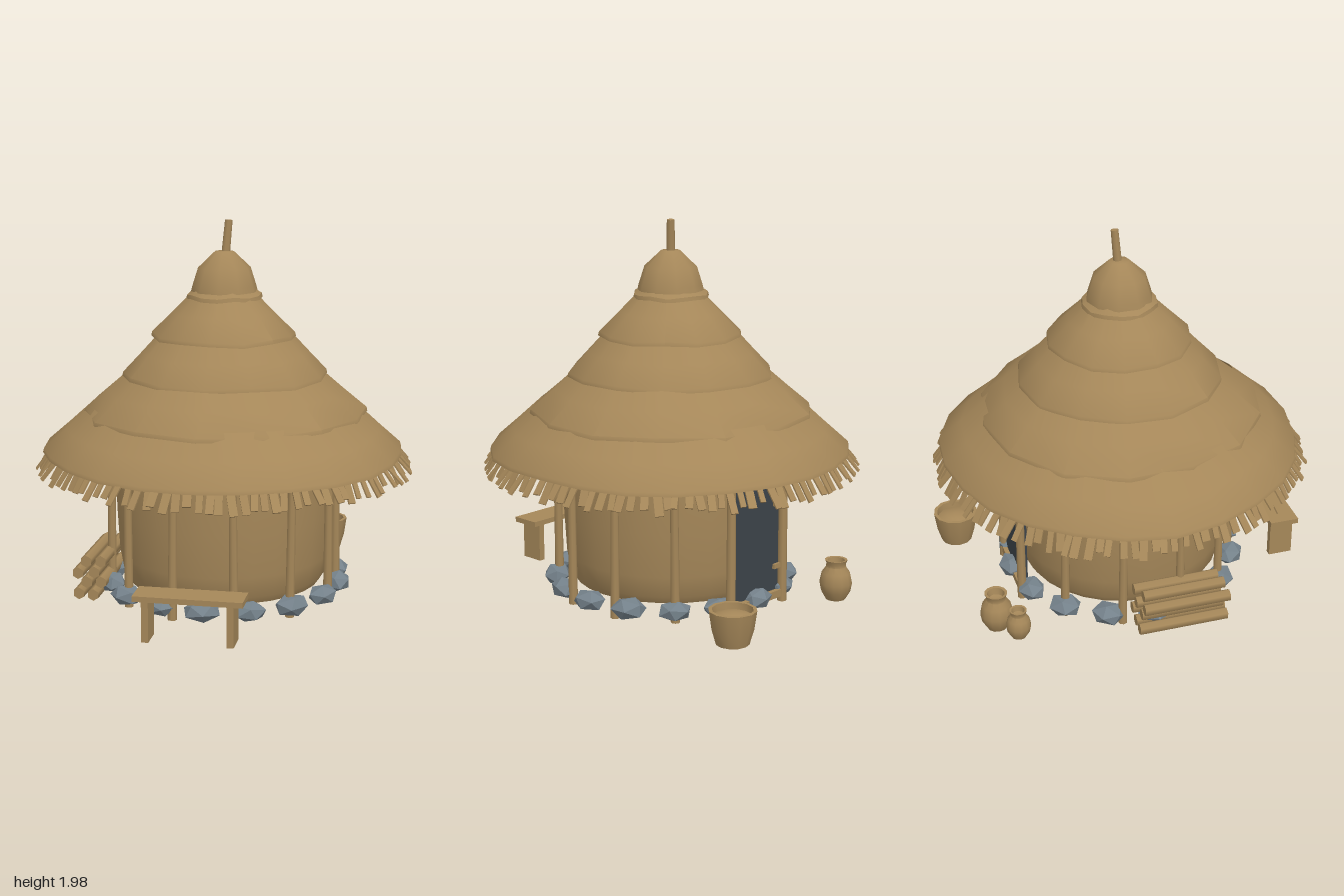
import * as THREE from 'three';
import { toCreasedNormals } from 'three/addons/utils/BufferGeometryUtils.js';

export function createModel() {
  const hut = new THREE.Group();
  const straw = new THREE.MeshStandardMaterial({ name: 'strawBrown', color: 0xa58759, side: THREE.DoubleSide });
  const stoneGrey = new THREE.MeshStandardMaterial({ name: 'stoneGrey', color: 0x74818a, flatShading: true });
  const doorDark = new THREE.MeshStandardMaterial({ name: 'doorDark', color: 0x3c4349 });

  let seed = 7;
  const rand = (a, b) => {
    seed = (seed * 16807) % 2147483647;
    return a + (b - a) * (seed / 2147483647);
  };
  const add = (name, geometry, material, x = 0, y = 0, z = 0, parent = hut) => {
    const m = new THREE.Mesh(geometry, material);
    m.name = name;
    m.position.set(x, y, z);
    parent.add(m);
    return m;
  };
  const group = (name, x = 0, y = 0, z = 0) => {
    const g = new THREE.Group();
    g.name = name;
    g.position.set(x, y, z);
    hut.add(g);
    return g;
  };
  const lathe = (points, sides, crease = 0.7) =>
    toCreasedNormals(new THREE.LatheGeometry(points.map(p => new THREE.Vector2(...p)), sides), crease);
  const box = (name, w, h, d, x, y, z, parent) => add(name, new THREE.BoxGeometry(w, h, d), straw, x, y, z, parent);

  // Round mud wall, open at top and bottom
  add('wall', lathe([[0.515, 0.07], [0.54, 0.11], [0.56, 0.22], [0.573, 0.45], [0.578, 0.7], [0.57, 0.9]], 28), straw);

  // Thatch layers: [bottom radius, bottom y, top radius, top y]
  const layers = [
    [0.955, 0.765, 0.70, 1.01], [0.75, 0.97, 0.49, 1.21],
    [0.54, 1.17, 0.33, 1.41], [0.38, 1.375, 0.15, 1.62], [0.2, 1.575, 0.12, 1.65],
  ];
  layers.forEach(([r0, y0, r1, y1], i) => {
    const mid = [(r0 + r1) / 2 + 0.003, (y0 + y1) / 2 + 0.003];
    const pts = [[r0 - 0.035, y0 + 0.005], [r0, y0], [r0 - 0.005, y0 + 0.02], mid, [r1, y1]];
    const g = new THREE.LatheGeometry(pts.map(p => new THREE.Vector2(...p)), i ? 14 : 24);
    const p = g.attributes.position;
    // Gentle unevenness around the rim
    for (let k = 0; k < p.count; k++) {
      const x = p.getX(k), z = p.getZ(k), a = Math.atan2(x, z);
      const s = 1 + 0.01 * Math.sin(3 * a + i * 2) + 0.006 * Math.sin(7 * a + i);
      p.setXYZ(k, x * s, p.getY(k) + 0.006 * Math.sin(5 * a + i * 3), z * s);
    }
    add('thatchLayer', toCreasedNormals(g, 0.7), straw);
  });

  // Ragged fringe under the eaves
  const fringe = group('fringe');
  const count = 112;
  for (let i = 0; i < count; i++) {
    const len = rand(0.085, 0.13);
    const strip = new THREE.BoxGeometry(rand(0.028, 0.044), len, 0.009).translate(0, -len / 2, 0);
    const arm = new THREE.Group();
    arm.name = 'strawArm';
    arm.rotation.y = (i / count) * Math.PI * 2 + rand(-0.01, 0.01);
    const m = add('strawStrip', strip, straw, 0, 0.775, 0.922, arm);
    m.rotation.set(rand(-0.75, -0.5), 0, rand(-0.15, 0.15));
    fringe.add(arm);
  }

  // Roof cap and pole
  add('roofCap', lathe([[0.1, 1.625], [0.175, 1.612], [0.168, 1.64], [0.138, 1.735], [0.05, 1.818], [0, 1.82]], 10, 0.9), straw);
  const pole = add('roofPole', new THREE.CylinderGeometry(0.02, 0.023, 0.2, 8), straw, 0.012, 1.88, -0.012);
  pole.rotation.set(-0.07, 0, -0.08);

  // Ring of wooden posts, left open at the doorway
  for (let i = 0; i < 12; i++) {
    const a = (i + 0.5) * Math.PI / 6;
    if (i === 5 || i === 6) continue;
    const post = add('post', new THREE.CylinderGeometry(0.02, 0.024, 0.76, 8), straw, 0.602 * Math.sin(a), 0.38, 0.602 * Math.cos(a));
    post.rotation.set(rand(-0.012, 0.012), 0, rand(-0.012, 0.012));
  }

  // Door at the back with frame
  const door = group('doorway', 0, 0, -0.585);
  add('door', new THREE.BoxGeometry(0.36, 0.6, 0.03), doorDark, 0, 0.37, 0, door);
  for (const s of [-1, 1]) {
    add('doorPost', new THREE.CylinderGeometry(0.022, 0.025, 0.72, 8), straw, s * 0.205, 0.36, -0.025, door);
    box('doorBatten', 0.05, 0.025, 0.02, -0.16, 0.37 + s * 0.17, -0.02, door);
  }
  box('lintel', 0.52, 0.045, 0.05, 0, 0.7, -0.03, door);
  box('threshold', 0.36, 0.04, 0.06, 0, 0.05, -0.01, door);

  // Foundation stones, each turned a different way and then flattened
  for (let i = 0; i < 16; i++) {
    const a = i * Math.PI / 8;
    const rock = new THREE.IcosahedronGeometry(1, 0).rotateX(rand(0, 3)).rotateZ(rand(0, 3));
    const stone = add('stone', rock, stoneGrey, 0.612 * Math.sin(a), 0.064, 0.612 * Math.cos(a));
    stone.scale.set(rand(0.092, 0.102), rand(0.052, 0.06), rand(0.074, 0.084));
    stone.rotation.y = a + rand(-0.3, 0.3);
  }

  // Bench in front
  const bench = group('bench', 0, 0, 0.87);
  box('benchSeat', 0.55, 0.028, 0.16, -0.005, 0.226, 0, bench);
  for (const x of [-0.22, 0.205]) box('benchLeg', 0.035, 0.214, 0.13, x, 0.107, 0, bench);

  // Stack of firewood along one side
  const logs = [
    [-0.71, 0.035], [-0.63, 0.035], [-0.67, 0.095], [-0.595, 0.095],
    [-0.71, 0.15], [-0.63, 0.15], [-0.67, 0.21], [-0.595, 0.21],
  ];
  const pile = group('firewood', 0, 0, 0.14);
  for (const [x, y] of logs) {
    const log = add('log', new THREE.CylinderGeometry(0.032, 0.032, rand(0.44, 0.49), 6), straw, x, y, rand(-0.02, 0.02), pile);
    log.rotation.x = Math.PI / 2;
  }

  // Basket with contents
  add('basket', lathe([[0, 0], [0.085, 0], [0.108, 0.08], [0.119, 0.155], [0.122, 0.175], [0.104, 0.175], [0.1, 0.14], [0.05, 0.16], [0, 0.165]], 12), straw, 0.445, 0, -0.83);

  // Two clay pots
  const potProfile = [[0, 0], [0.052, 0], [0.078, 0.045], [0.087, 0.09], [0.075, 0.145], [0.052, 0.178], [0.052, 0.195], [0.06, 0.215], [0.046, 0.213], [0.038, 0.178], [0, 0.17]];
  add('largePot', lathe(potProfile, 12), straw, -0.42, 0, -0.8);
  add('smallPot', lathe(potProfile, 12), straw, -0.53, 0, -0.71).scale.setScalar(0.76);

  return hut;
}
